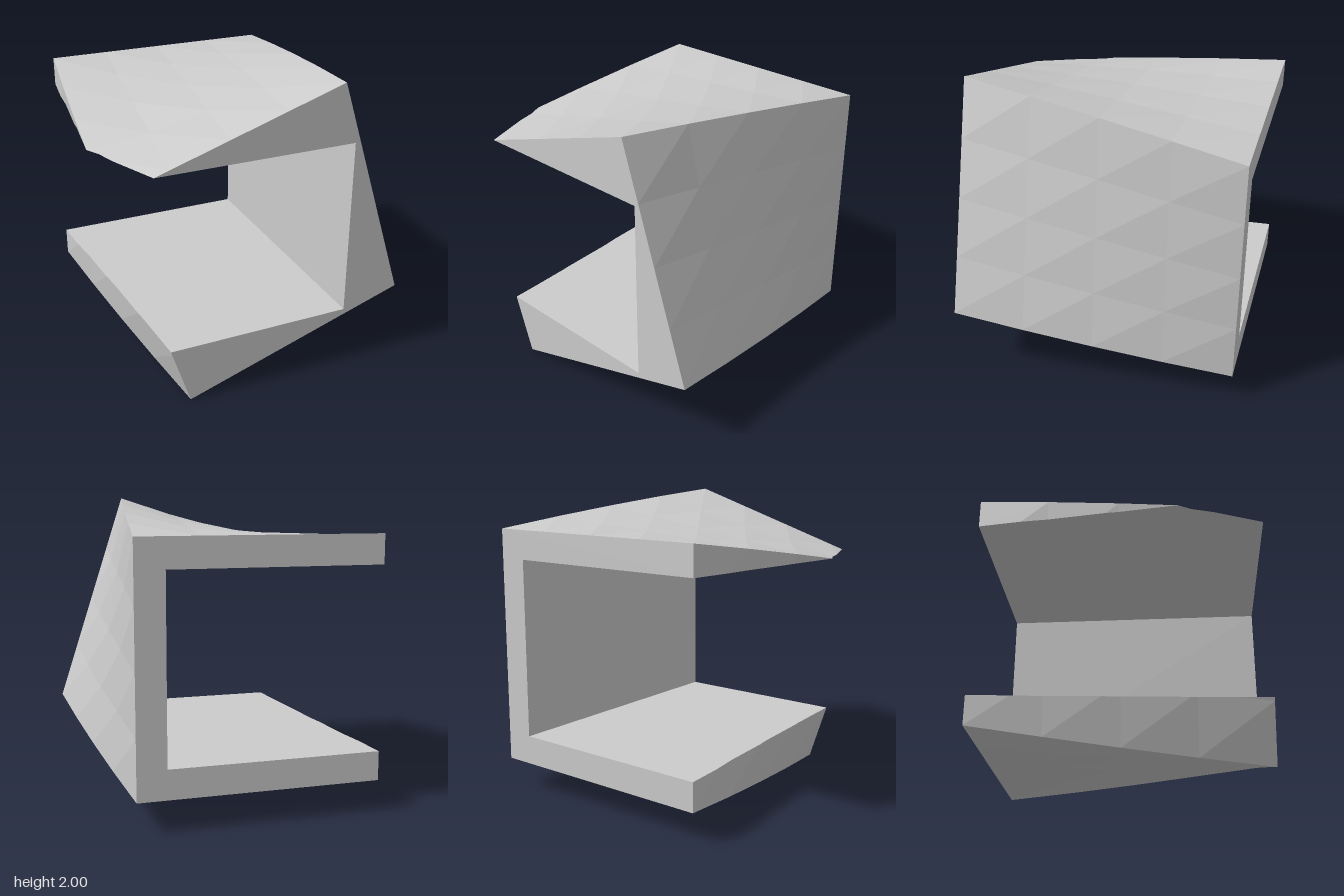
import * as THREE from 'three';

const R = 1.122;              // centre to corner of the square section
const CX = -0.027, CY = 1;    // twist axis
const H = 0.93;               // half depth
const TWIST = Math.PI / 10;   // 18 degrees from back to front
const N = 4;                  // facets along each edge
const WALL = 0.575, CEIL = 1.6, FLOOR = 0.4; // notch limits

// Corner k of the section at depth z: 0 low right, 1 top right, 2 top left, 3 low left
function corner(k, z) {
  const a = -Math.PI / 4 + k * Math.PI / 2 + TWIST * (z + H) / (2 * H);
  return new THREE.Vector3(CX + R * Math.cos(a), CY + R * Math.sin(a), z);
}
const onSide = (k, u, z) => corner(k, z).lerp(corner(k + 1, z), u);

// Facets of one twisted side
function sideTriangles(k) {
  const tris = [];
  for (let i = 0; i < N; i++) for (let j = 0; j < N; j++) {
    const zb = -H + 2 * H * j / N, zf = -H + 2 * H * (j + 1) / N;
    const f0 = onSide(k, i / N, zf), f1 = onSide(k, (i + 1) / N, zf);
    const b0 = onSide(k, i / N, zb), b1 = onSide(k, (i + 1) / N, zb);
    tris.push([f0, b0, b1], [f0, b1, f1]);
  }
  return tris;
}

// Keep the part of a polygon above (dir 1) or below (dir -1) height y; record the cut
function clip(poly, y, dir, cuts) {
  const out = [];
  poly.forEach((p, i) => {
    const q = poly[(i + 1) % poly.length];
    const dp = (p.y - y) * dir, dq = (q.y - y) * dir;
    if (dp >= 0) out.push(p);
    if (dp * dq < 0) {
      const c = p.clone().lerp(q, dp / (dp - dq));
      out.push(c);
      cuts.push(c);
    }
  });
  return out;
}

function polygonMesh(name, polys) {
  const pts = [];
  for (const p of polys) for (let i = 1; i + 1 < p.length; i++) pts.push(p[0], p[i], p[i + 1]);
  const geometry = new THREE.BufferGeometry().setFromPoints(pts);
  geometry.computeVertexNormals();
  return makeMesh(name, geometry);
}

function makeMesh(name, geometry) {
  const mesh = new THREE.Mesh(geometry, new THREE.MeshStandardMaterial({
    color: 0xcccccc, flatShading: true, side: THREE.DoubleSide,
  }));
  mesh.name = name;
  return mesh;
}

// Cut points ordered from back to front, without repeats
function cutEdge(cuts) {
  return cuts.sort((a, b) => a.z - b.z).filter((p, i, all) => !i || p.distanceTo(all[i - 1]) > 1e-5);
}

// Flat notch face between the cut edge and the inner wall
function notchFace(name, edge, y, up) {
  const polys = [];
  for (let i = 0; i + 1 < edge.length; i++) {
    const a = edge[i], b = edge[i + 1];
    const quad = [a, b, new THREE.Vector3(WALL, y, b.z), new THREE.Vector3(WALL, y, a.z)];
    polys.push(up ? quad : quad.reverse());
  }
  return polygonMesh(name, polys);
}

export function createModel() {
  const group = new THREE.Group();
  const ceilCuts = [], floorCuts = [];

  // Twisted outer sides, with the notch opening through the left one
  const left = sideTriangles(2);
  const top = sideTriangles(1).map(t => clip(t, CEIL, 1, ceilCuts));
  const leftUpper = left.map(t => clip(t, CEIL, 1, ceilCuts));
  const leftLower = left.map(t => clip(t, FLOOR, -1, floorCuts));
  group.add(
    polygonMesh('closedSide', sideTriangles(0)),
    polygonMesh('topSide', top),
    polygonMesh('upperLip', leftUpper),
    polygonMesh('lowerLip', leftLower),
    polygonMesh('bottomSide', sideTriangles(3)),
  );

  // Flat faces inside the notch
  const ceilEdge = cutEdge(ceilCuts), floorEdge = cutEdge(floorCuts);
  group.add(
    notchFace('notchCeiling', ceilEdge, CEIL, false),
    notchFace('notchFloor', floorEdge, FLOOR, true),
    polygonMesh('notchWall', [[
      new THREE.Vector3(WALL, FLOOR, -H), new THREE.Vector3(WALL, FLOOR, H),
      new THREE.Vector3(WALL, CEIL, H), new THREE.Vector3(WALL, CEIL, -H),
    ]]),
  );

  // C-shaped end faces
  for (const [name, z, end] of [['frontEnd', H, -1], ['backEnd', -H, 0]]) {
    const outline = [corner(0, z), corner(1, z)];
    if (corner(2, z).y > CEIL) outline.push(corner(2, z));
    outline.push(ceilEdge.at(end), new THREE.Vector2(WALL, CEIL), new THREE.Vector2(WALL, FLOOR),
      floorEdge.at(end), corner(3, z));
    const shape = new THREE.Shape(outline.map(p => new THREE.Vector2(p.x, p.y)));
    const cap = makeMesh(name, new THREE.ShapeGeometry(shape));
    if (z < 0) cap.geometry.index.array.reverse();
    cap.geometry.computeVertexNormals();
    cap.position.z = z;
    group.add(cap);
  }
  return group;
}
